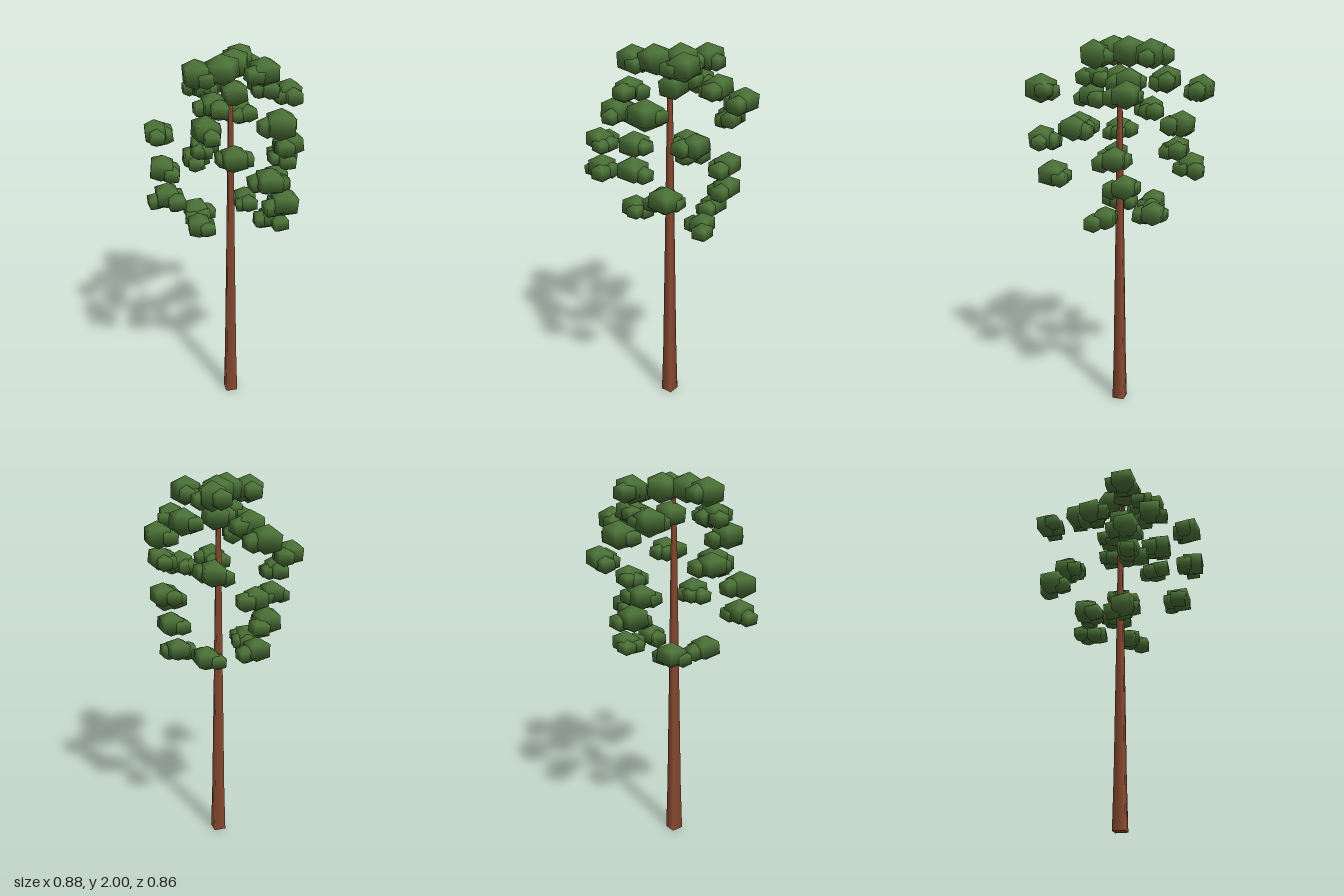
import * as THREE from 'three';

const bark = new THREE.MeshStandardMaterial({ color: 0x8c4c32 });
bark.name = 'bark brown';
const leaf = new THREE.MeshStandardMaterial({ color: 0x4c7338 });
leaf.name = 'leaf green';

// Blocky, smooth-shaded lumps of foliage, unit radius across
const lump = (sides) => {
  const g = new THREE.SphereGeometry(1.15, sides, 3);
  g.scale(1, 0.8, 1);
  return g;
};
const squareLump = lump(4);
const fiveLump = lump(5);

// Small seeded generator for tilts
let seed = 7;
const rand = (a, b) => {
  seed = (seed * 16807) % 2147483647;
  return a + (b - a) * (seed / 2147483647);
};

// Tiers of tufts: x, y, z, radius, direction of the side knob in degrees (0 = +x, 90 = +z)
const crown = [
  [-0.08, 1.915, -0.205, 0.08, 200], [-0.095, 1.91, 0.17, 0.08, -130],
  [0.152, 1.91, -0.047, 0.08, 110],
];
const upper = [
  [0.355, 1.74, 0.155, 0.083, 150], [0.135, 1.74, -0.345, 0.074, 40],
  [-0.365, 1.74, -0.215, 0.077, -35], [-0.23, 1.78, -0.095, 0.079, -60],
  [0.06, 1.79, -0.235, 0.075, 40], [0.02, 1.685, 0.265, 0.078, -95],
  [0.02, 1.79, 0.2, 0.068, 30],
];
const middle = [
  [-0.163, 1.59, -0.353, 0.072, 15], [-0.318, 1.6, 0.212, 0.071, -80],
  [0.287, 1.565, -0.085, 0.07, 90], [0.13, 1.54, 0.19, 0.075, 190],
  [0.335, 1.48, 0.215, 0.074, 180], [-0.185, 1.48, 0.345, 0.074, -130],
  [0.16, 1.43, -0.27, 0.07, 50], [-0.28, 1.43, -0.13, 0.07, -60],
];
const lower = [
  [0.338, 1.32, 0.065, 0.08, 130], [-0.165, 1.34, 0.34, 0.072, 5],
  [-0.35, 1.34, -0.16, 0.075, -80], [0.11, 1.29, -0.28, 0.07, 40],
  [-0.225, 1.12, 0.01, 0.074, -50], [-0.095, 1.125, 0.17, 0.074, -120],
  [0.15, 1.11, -0.15, 0.068, 10], [-0.07, 1.13, -0.25, 0.07, 40],
];

function addLump(parent, name, geometry, x, y, z, r, turn = rand(-0.15, 0.15)) {
  const m = new THREE.Mesh(geometry, leaf);
  m.name = name;
  m.position.set(x, y, z);
  m.rotation.set(rand(-0.12, 0.12), turn, rand(-0.12, 0.12));
  m.scale.setScalar(r);
  parent.add(m);
}

// A tuft is one large lump, two side knobs, and a smaller knob towards the trunk
function addTuft(parent, [x, y, z, r, degrees]) {
  const tuft = new THREE.Group();
  tuft.name = 'leafTuft';
  addLump(tuft, 'mainLump', squareLump, x, y, z, r);
  [[degrees, 0.062, 0.056], [degrees + 125, 0.055, 0.05]].forEach(([angle, reach, size]) => {
    const a = THREE.MathUtils.degToRad(angle);
    addLump(tuft, 'sideKnob', squareLump,
      x + reach * Math.cos(a), y - rand(0.005, 0.025), z + reach * Math.sin(a), size);
  });
  const d = Math.hypot(x, z);
  addLump(tuft, 'innerKnob', squareLump,
    x - 0.05 * x / d, y - 0.018, z - 0.05 * z / d, 0.052);
  parent.add(tuft);
}

export function createModel() {
  const model = new THREE.Group();
  model.name = 'tallTree';

  // Four-sided tapering trunk with a flared foot; the base is a separate flat face
  const side = [[0.046, 0], [0.038, 0.27], [0.026, 1.0], [0.017, 1.6], [0.011, 1.88]]
    .map(([r, y]) => new THREE.Vector2(r, y));
  const trunk = new THREE.Mesh(new THREE.LatheGeometry(side, 4), bark);
  trunk.name = 'trunk';
  trunk.position.set(-0.01, 0, -0.003);
  const base = new THREE.Mesh(
    new THREE.LatheGeometry([new THREE.Vector2(0, 0), side[0]], 4), bark);
  base.name = 'trunkBase';
  trunk.add(base);
  model.add(trunk);

  // Tiers of foliage
  Object.entries({ crown, upper, middle, lower }).forEach(([name, tufts]) => {
    const tier = new THREE.Group();
    tier.name = name + 'Foliage';
    tufts.forEach((t) => addTuft(tier, t));
    model.add(tier);
  });

  // Two lumps at the very top and one around the trunk below them
  addLump(model, 'topLumpBack', fiveLump, -0.03, 1.92, -0.063, 0.084, 0.5);
  addLump(model, 'topLumpFront', fiveLump, -0.012, 1.92, 0.068, 0.084, 0.2);
  addLump(model, 'trunkLump', squareLump, 0, 1.79, -0.02, 0.075);
  return model;
}
